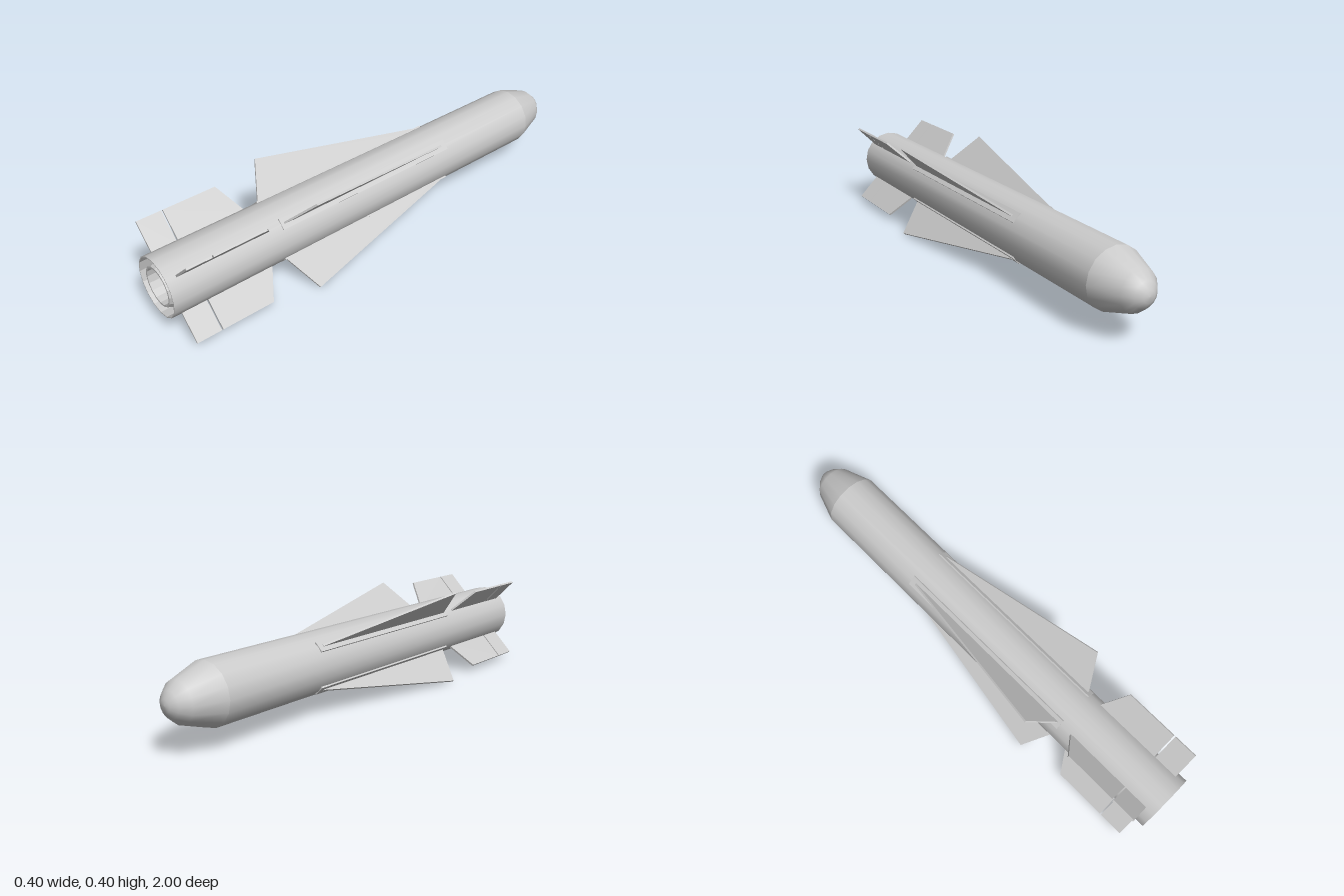
import * as THREE from 'three';

const AXIS_Y = 0.2;
const SIDES = 16;
const smooth = new THREE.MeshStandardMaterial({ color: 0xcccccc });
const flat = new THREE.MeshStandardMaterial({ color: 0xcccccc, flatShading: true });

// Lathe about the z axis from [radius, z] pairs, listed from tail to nose
function turned(name, profile, material) {
  const points = profile.map(([r, z]) => new THREE.Vector2(r, -z));
  const geometry = new THREE.LatheGeometry(points, SIDES);
  geometry.rotateX(-Math.PI / 2);
  const mesh = new THREE.Mesh(geometry, material);
  mesh.name = name;
  return mesh;
}

// Flat plate standing radially, outlined by [z, radius] pairs
function plate(name, outline, thickness) {
  const shape = new THREE.Shape(outline.map(([z, r]) => new THREE.Vector2(z, r)));
  const geometry = new THREE.ExtrudeGeometry(shape, { depth: thickness, bevelEnabled: false });
  geometry.translate(0, 0, -thickness / 2);
  geometry.rotateY(-Math.PI / 2);
  const mesh = new THREE.Mesh(geometry, flat);
  mesh.name = name;
  return mesh;
}

export function createModel() {
  const model = new THREE.Group();
  model.name = 'missile';

  // Body tube with rounded nose
  const body = new THREE.Group();
  body.name = 'body';
  body.position.y = AXIS_Y;
  body.add(turned('bodyTube', [[0.122, 1], [0.122, -0.82]], smooth));
  body.add(turned('nose', [
    [0.122, -0.82], [0.08, -0.945], [0.05, -0.98], [0.024, -0.998], [0, -1],
  ], smooth));

  // Recessed tail with a tapered hollow nozzle
  body.add(turned('nozzleAndTail', [
    [0, 0.86], [0.073, 0.86], [0.073, 0.995], [0.081, 0.995],
    [0.098, 0.95], [0.118, 0.95], [0.118, 1], [0.122, 1],
  ], flat));
  model.add(body);

  // Four diagonal sets of mounting strip, wing and tail fin
  for (let i = 0; i < 4; i++) {
    const set = new THREE.Group();
    set.name = 'finSet' + (i + 1);
    set.position.y = AXIS_Y;
    set.rotation.z = Math.PI / 4 + (i * Math.PI) / 2;

    set.add(plate('wingMount', [[-0.335, 0.1], [0.515, 0.1], [0.515, 0.124], [-0.335, 0.124]], 0.045));
    set.add(plate('wing', [[-0.31, 0.11], [0.5, 0.11], [0.5, 0.126], [0.428, 0.279], [-0.31, 0.126]], 0.008));
    set.add(plate('tailFin', [[0.57, 0.11], [0.852, 0.11], [0.852, 0.243], [0.63, 0.243], [0.57, 0.124]], 0.008));
    set.add(plate('controlFlap', [[0.858, 0.11], [0.96, 0.11], [0.96, 0.243], [0.858, 0.243]], 0.008));
    model.add(set);
  }
  return model;
}
